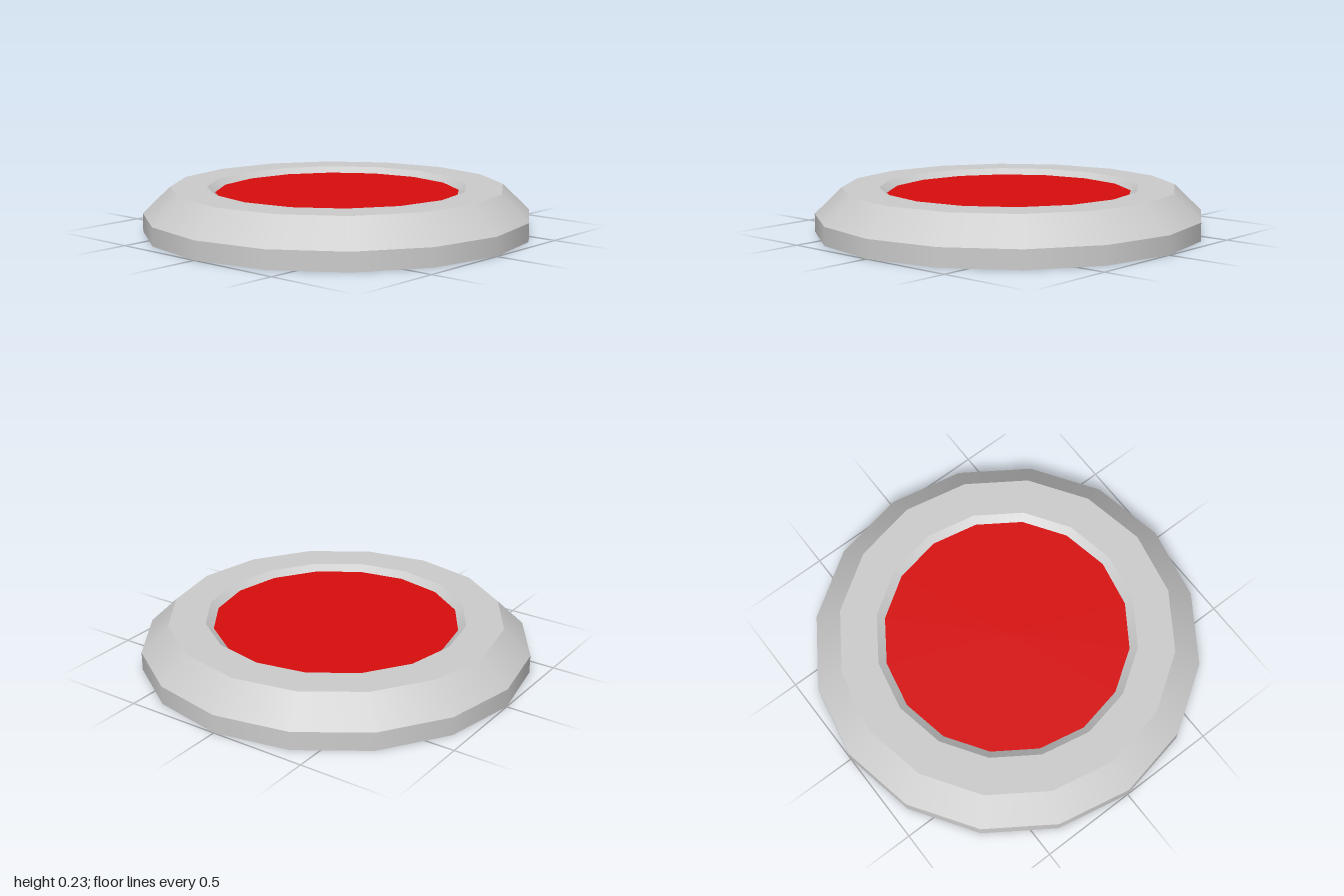
import * as THREE from 'three';

const SIDES = 16;

export function createModel() {
  const model = new THREE.Group();
  model.name = 'roundButton';

  const grey = new THREE.MeshStandardMaterial({ color: 0xcccccc, side: THREE.DoubleSide });
  grey.name = 'light grey';
  const red = new THREE.MeshStandardMaterial({ color: 0xd80d0d, side: THREE.DoubleSide });
  red.name = 'red';

  // Open shell: one band per profile step, smooth around and sharp between bands
  const profile = [[1, 0], [1, 0.095], [0.86, 0.23], [0.67, 0.23], [0.63, 0.2]]
    .map(([r, y]) => new THREE.Vector2(r, y));
  ['outerWall', 'bevel', 'topRing', 'innerLip'].forEach((name, i) => {
    const band = new THREE.Mesh(new THREE.LatheGeometry([profile[i], profile[i + 1]], SIDES), grey);
    band.name = name;
    model.add(band);
  });

  // Recessed red face, corners aligned with the lip
  const face = new THREE.Mesh(new THREE.CircleGeometry(0.63, SIDES).rotateX(-Math.PI / 2), red);
  face.name = 'redFace';
  face.position.y = 0.2;
  model.add(face);

  return model;
}
